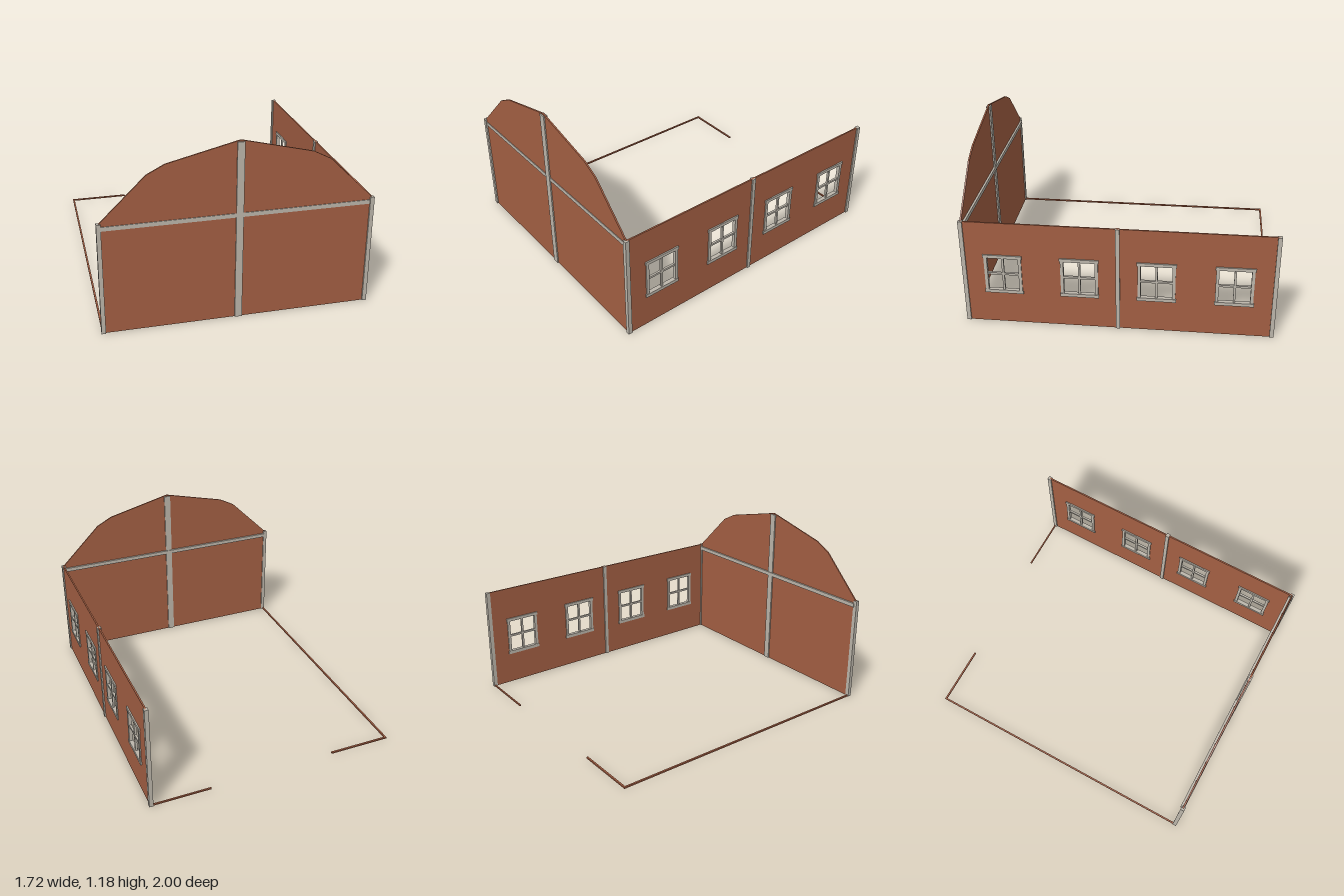
import * as THREE from 'three';

const brick = new THREE.MeshStandardMaterial({ color: 0xa35f43 });
const trim = new THREE.MeshStandardMaterial({ color: 0xbcb6ab });

const WALL_H = 0.735, SIDE_X = 0.846, GABLE_Z = 0.985;
const WINDOW_Z = [-0.735, -0.245, 0.245, 0.735];
const WIN_Y = 0.366;

// Box given by its minimum and maximum on each axis
function box(parent, name, material, [x0, x1], [y0, y1], [z0, z1]) {
  const mesh = new THREE.Mesh(new THREE.BoxGeometry(x1 - x0, y1 - y0, z1 - z0), material);
  mesh.position.set((x0 + x1) / 2, (y0 + y1) / 2, (z0 + z1) / 2);
  mesh.name = name;
  parent.add(mesh);
  return mesh;
}

function shapeFrom(points) {
  return new THREE.Shape(points.map(([x, y]) => new THREE.Vector2(x, y)));
}

// Window trim, built around the wall plane with its width along z
function createWindow() {
  const win = new THREE.Group();
  win.name = 'window';
  const deep = [-0.014, 0.014], thin = [-0.007, 0.007];
  box(win, 'windowHeader', trim, deep, [0.117, 0.139], [-0.125, 0.125]);
  box(win, 'windowSill', trim, deep, [-0.141, -0.118], [-0.125, 0.125]);
  for (const s of [-1, 1]) {
    const jamb = box(win, 'windowJamb', trim, [-0.012, 0.012], [-0.118, 0.117], [-0.01, 0.01]);
    jamb.position.z = s * 0.11;
  }
  box(win, 'verticalMuntin', trim, thin, [-0.118, 0.117], [-0.007, 0.007]);
  box(win, 'horizontalMuntin', trim, thin, [-0.007, 0.007], [-0.1, 0.1]);
  return win;
}

// Long wall with four window openings
function createSideWall() {
  const wall = new THREE.Group();
  wall.name = 'sideWall';
  const shape = shapeFrom([[-0.985, 0], [0.985, 0], [0.985, WALL_H], [-0.985, WALL_H]]);
  for (const z of WINDOW_Z) {
    const [l, r, b, t] = [-z - 0.105, -z + 0.105, WIN_Y - 0.122, WIN_Y + 0.122];
    shape.holes.push(shapeFrom([[l, b], [l, t], [r, t], [r, b]]));
  }
  const geometry = new THREE.ExtrudeGeometry(shape, { depth: 0.01, bevelEnabled: false });
  geometry.rotateY(Math.PI / 2).translate(SIDE_X - 0.005, 0, 0);
  const panel = new THREE.Mesh(geometry, brick);
  panel.name = 'sidePanel';
  wall.add(panel);
  for (const z of WINDOW_Z) {
    const win = createWindow();
    win.position.set(SIDE_X, WIN_Y, z);
    wall.add(win);
  }
  box(wall, 'middlePost', trim, [SIDE_X - 0.014, SIDE_X + 0.014], [0, WALL_H], [-0.013, 0.013]);
  return wall;
}

// Front wall with a gambrel outline, centre post and cross beam
function createGableWall() {
  const wall = new THREE.Group();
  wall.name = 'gableWall';
  const half = [[0.845, 0], [0.845, 0.735], [0.56, 1.015], [0.45, 1.072]];
  const mirrored = half.map(([x, y]) => [-x, y]).reverse();
  const geometry = new THREE.ExtrudeGeometry(shapeFrom([...half, [0, 1.182], ...mirrored]),
    { depth: 0.01, bevelEnabled: false });
  geometry.translate(0, 0, GABLE_Z - 0.005);
  const panel = new THREE.Mesh(geometry, brick);
  panel.name = 'gablePanel';
  wall.add(panel);
  box(wall, 'centrePost', trim, [-0.023, 0.023], [0, 1.172], [0.971, 0.998]);
  box(wall, 'crossBeam', trim, [-0.84, 0.84], [0.69, 0.717], [0.966, 0.994]);
  return wall;
}

export function createModel() {
  const barn = new THREE.Group();
  barn.name = 'barnWalls';
  barn.add(createSideWall(), createGableWall());

  // Corner posts
  for (const [x, z] of [[1, 1], [-1, 1], [1, -1]]) {
    const post = box(barn, 'cornerPost', trim, [-0.0135, 0.0135], [0, WALL_H], [-0.0135, 0.0135]);
    post.position.x = x * SIDE_X;
    post.position.z = z * 0.9865;
  }

  // Ground sills along the open sides
  box(barn, 'leftSill', brick, [-0.856, -0.844], [0, 0.01], [-0.984, 0.985]);
  box(barn, 'backLeftSill', brick, [-0.856, -0.43], [0, 0.01], [-0.984, -0.972]);
  box(barn, 'backRightSill', brick, [0.443, 0.845], [0, 0.01], [-0.995, -0.985]);
  return barn;
}
